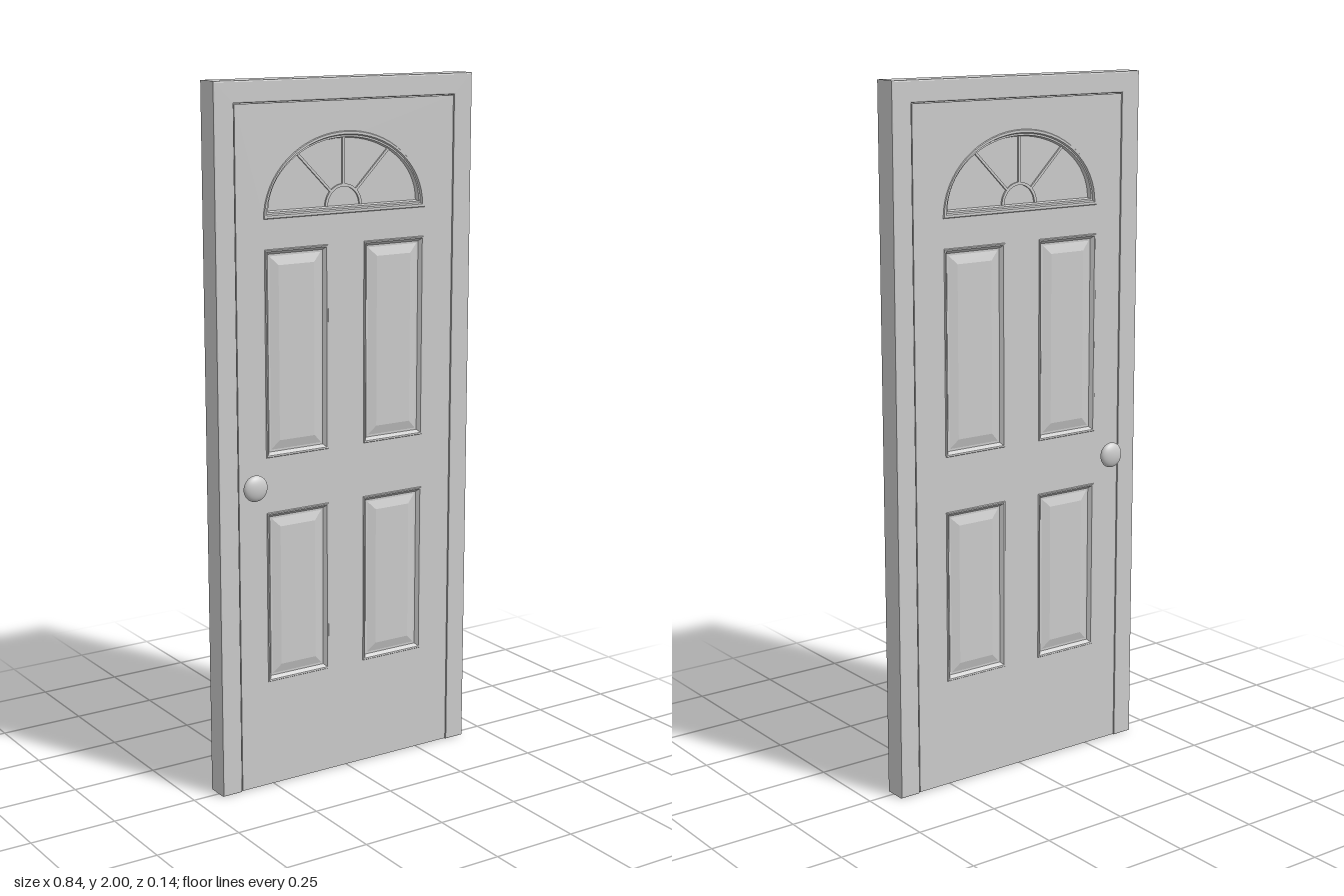
import * as THREE from 'three';

const MID = -0.007;      // middle of the door thickness
const FACE = 0.033;      // half thickness of the leaf
const AXIS = -0.005;     // vertical line the panels mirror about
const HALF = 0.035;      // half thickness of the frame

// closed outline of a rectangle, shrunk by inset
const rectLoop = (w, h) => (inset) => {
  const x = w / 2 - inset, y = h / 2 - inset;
  return [[-x, -y], [x, -y], [x, y], [-x, y]];
};

// closed outline of the half-round window, shrunk by inset
const archLoop = (rx, ry) => (inset) => {
  const n = 32, pts = [];
  for (let i = 0; i <= n; i++) {
    const a = (Math.PI * i) / n;
    pts.push([(rx - inset) * Math.cos(a), inset + (ry - 2 * inset) * Math.sin(a)]);
  }
  return pts;
};

// skin through nested outlines; levels are [inset, z], last one is capped
function nested(loop, levels) {
  const pos = [];
  const rings = levels.map(([inset, z]) => loop(inset).map(([x, y]) => [x, y, z]));
  for (let r = 0; r < rings.length - 1; r++) {
    const o = rings[r], q = rings[r + 1];
    for (let i = 0; i < o.length; i++) {
      const j = (i + 1) % o.length;
      pos.push(...o[i], ...o[j], ...q[j], ...o[i], ...q[j], ...q[i]);
    }
  }
  const cap = rings[rings.length - 1];
  for (let i = 1; i < cap.length - 1; i++) pos.push(...cap[0], ...cap[i], ...cap[i + 1]);
  const g = new THREE.BufferGeometry();
  g.setAttribute('position', new THREE.Float32BufferAttribute(pos, 3));
  g.computeVertexNormals();
  return g;
}

const toPath = (pts, dx, dy, Type = THREE.Path) =>
  new Type(pts.map(([x, y]) => new THREE.Vector2(x + dx, y + dy)));

export function createModel() {
  const model = new THREE.Group();
  model.name = 'door';
  const mat = new THREE.MeshStandardMaterial({ color: 0xcccccc });
  const add = (name, geo, x, y, z, parent = model) => {
    const m = new THREE.Mesh(geo, mat);
    m.name = name;
    m.position.set(x, y, z);
    parent.add(m);
    return m;
  };
  // same part on the front and the back face
  const bothSides = (name, geo, x, y) => {
    add(name + 'Front', geo, x, y, MID);
    add(name + 'Back', geo, x, y, MID).rotation.y = Math.PI;
  };

  // door frame: two jambs and a head with eased edges
  const bevel = 0.004;
  const frame = toPath([[-0.42, 0], [-0.358, 0], [-0.358, 1.94], [0.358, 1.94],
    [0.358, 0], [0.42, 0], [0.42, 2], [-0.42, 2]], 0, 0, THREE.Shape);
  const frameGeo = new THREE.ExtrudeGeometry(frame, {
    depth: 2 * (HALF - bevel), bevelThickness: bevel, bevelSize: bevel,
    bevelOffset: -bevel, bevelSegments: 2,
  });
  add('frame', frameGeo, 0, 0, MID - HALF + bevel);

  // panel and window openings
  const panels = [];
  for (const [bottom, top] of [[0.315, 0.812], [0.97, 1.548]]) {
    for (const side of [-1, 1]) {
      panels.push({ x: AXIS + side * 0.161, y: (bottom + top) / 2, w: 0.204, h: top - bottom });
    }
  }
  const arch = archLoop(0.265, 0.225), archY = 1.63;

  // leaf with the openings cut out
  const leaf = toPath([[-0.356, 0.003], [0.356, 0.003], [0.356, 1.938], [-0.356, 1.938]],
    0, 0, THREE.Shape);
  for (const p of panels) leaf.holes.push(toPath(rectLoop(p.w, p.h)(0), p.x, p.y));
  leaf.holes.push(toPath(arch(0), AXIS, archY));
  add('leaf', new THREE.ExtrudeGeometry(leaf, { depth: 2 * FACE, bevelEnabled: false }),
    0, 0, MID - FACE);

  // raised-field panels with a moulded border
  for (const p of panels) {
    const geo = nested(rectLoop(p.w, p.h), [[0, FACE], [0.002, FACE + 0.003],
      [0.006, FACE + 0.002], [0.014, FACE - 0.008], [0.02, FACE - 0.008], [0.045, FACE - 0.001]]);
    bothSides('panel', geo, p.x, p.y);
  }

  // fan window: moulded rim stepping down to the glass
  const GLASS = 0.016;
  bothSides('fanWindow', nested(arch, [[0, FACE], [0.002, FACE + 0.003], [0.009, FACE + 0.003],
    [0.012, FACE - 0.004], [0.017, FACE - 0.004], [0.02, GLASS]]), AXIS, archY);

  // glazing bars: half-round hub and three spokes
  const bars = new THREE.Group();
  bars.name = 'glazingBars';
  bars.position.set(AXIS, archY + 0.02, MID);
  model.add(bars);
  const depth = 2 * (GLASS + 0.005);
  const hub = new THREE.Shape();
  hub.absarc(0, 0, 0.06, 0, Math.PI, false);
  hub.absarc(0, 0, 0.052, Math.PI, 0, true);
  add('hub', new THREE.ExtrudeGeometry(hub, { depth, bevelEnabled: false, curveSegments: 16 }),
    0, 0, -depth / 2, bars);
  for (const deg of [45, 90, 135]) {
    const a = THREE.MathUtils.degToRad(deg), c = Math.cos(a), s = Math.sin(a);
    const end = 1 / Math.hypot(c / 0.245, s / 0.187), start = 0.056;
    const r = (start + end) / 2;
    add('spoke', new THREE.BoxGeometry(end - start, 0.007, depth), r * c, r * s, 0, bars)
      .rotation.z = a;
  }

  // flattened round knobs on short stems
  const knobGeo = new THREE.SphereGeometry(0.037, 32, 20).scale(1, 1, 0.46);
  const stemGeo = new THREE.CylinderGeometry(0.012, 0.014, 0.03, 20).rotateX(Math.PI / 2);
  for (const side of [-1, 1]) {
    add('knob', knobGeo, -0.316, 0.895, MID + side * 0.0545);
    add('knobStem', stemGeo, -0.316, 0.895, MID + side * 0.04);
  }
  return model;
}
